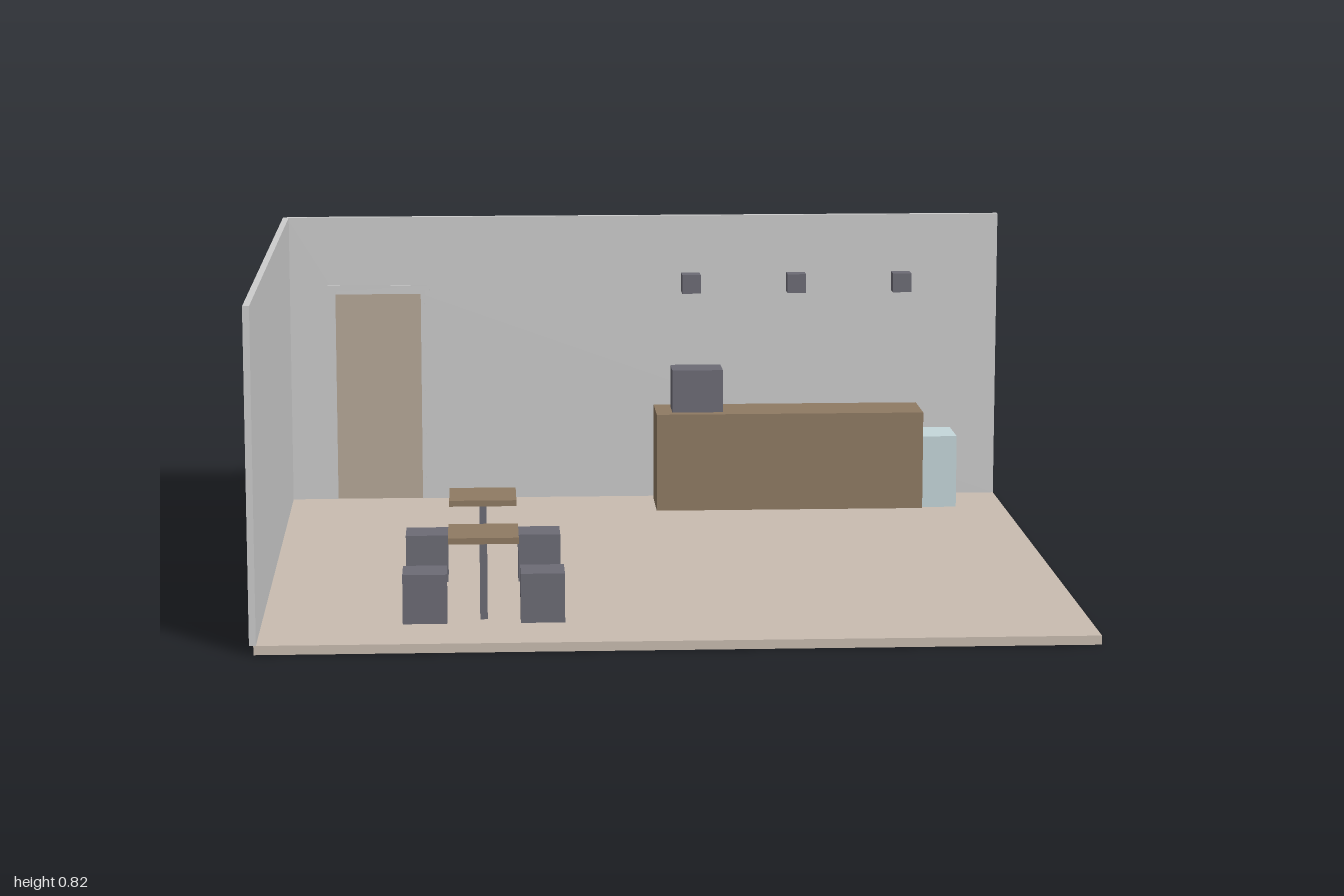
import * as THREE from 'three';

const mat = (color) => new THREE.MeshStandardMaterial({ color, flatShading: true });

export function createModel() {
  const room = new THREE.Group();
  room.name = 'cafeRoom';

  const wallMat = mat(0xcccccc), floorMat = mat(0xc8bcb0), woodMat = mat(0x8f7a62);
  const greyMat = mat(0x6c6b75), glassMat = mat(0xc4d6da), doorMat = mat(0xb5a898);
  const signMat = mat(0x55555a);

  // Box given by its extents along each axis
  function box(name, [x0, x1], [y0, y1], [z0, z1], material, parent = room) {
    const mesh = new THREE.Mesh(new THREE.BoxGeometry(x1 - x0, y1 - y0, z1 - z0), material);
    mesh.position.set((x0 + x1) / 2, (y0 + y1) / 2, (z0 + z1) / 2);
    mesh.name = name;
    parent.add(mesh);
    return mesh;
  }

  const F = 0.022; // floor level
  const T = 0.82; // wall top
  const around = (c, size) => [c - size / 2, c + size / 2];

  // Floor and side wall
  box('floor', [-0.99, 1], [0, F], [-0.844, 0.915], floorMat);
  box('sideWall', [-1, -0.984], [F, T], [-0.844, 0.915], wallMat);

  // Back wall with a doorway notch
  const door = { x0: -0.858, x1: -0.62, top: 0.604 };
  const outline = new THREE.Shape([
    [-0.99, F], [door.x0, F], [door.x0, door.top], [door.x1, door.top],
    [door.x1, F], [1, F], [1, T], [-0.99, T],
  ].map(([x, y]) => new THREE.Vector2(x, y)));
  const backWall = new THREE.Mesh(
    new THREE.ExtrudeGeometry(outline, { depth: 0.021, bevelEnabled: false }), wallMat);
  backWall.position.z = -0.854;
  backWall.name = 'backWall';
  room.add(backWall);

  // Door leaf and its frame, slightly proud of the wall
  const doorway = new THREE.Group();
  doorway.name = 'doorway';
  room.add(doorway);
  const frameZ = [-0.857, -0.83];
  box('doorLeaf', [door.x0, door.x1], [F, door.top], [-0.851, -0.836], doorMat, doorway);
  box('doorJambLeft', [door.x1, door.x1 + 0.011], [F, 0.615], frameZ, wallMat, doorway);
  box('doorJambRight', [door.x0 - 0.011, door.x0], [F, 0.615], frameZ, wallMat, doorway);
  box('doorHead', [-0.88, -0.596], [0.612, 0.629], frameZ, wallMat, doorway);

  // Outdoor sign board behind the back wall
  box('signBoard', [0.09, 0.71], [0.505, 0.703], [-0.918, -0.908], signMat);

  // Counter, coffee machine and display case
  box('counter', [0.03, 0.77], [F, 0.292], [-0.787, -0.618], woodMat);
  box('coffeeMachine', [0.075, 0.215], [0.292, 0.41], [-0.754, -0.652], greyMat);
  box('displayCase', [0.77, 0.866], [F, 0.222], [-0.777, -0.632], glassMat);

  // Hanging lamps above the counter
  for (const x of [0.115, 0.4, 0.686]) {
    box('pendantLamp', around(x, 0.05), [0.652, 0.703], around(-0.475, 0.05), greyMat);
  }

  // Tables, each with a stool on either side
  for (const z of [0.207, 0.662]) {
    const set = new THREE.Group();
    set.name = 'tableSet';
    room.add(set);
    box('tableTop', around(-0.453, 0.168), [0.222, 0.237], around(z, 0.168), woodMat, set);
    box('tableLeg', around(-0.453, 0.018), [F, 0.222], around(z, 0.018), greyMat, set);
    for (const side of [-1, 1]) {
      box('stool', around(-0.453 + side * 0.141, 0.106), [F, 0.142], around(z, 0.104), greyMat, set);
    }
  }

  return room;
}
